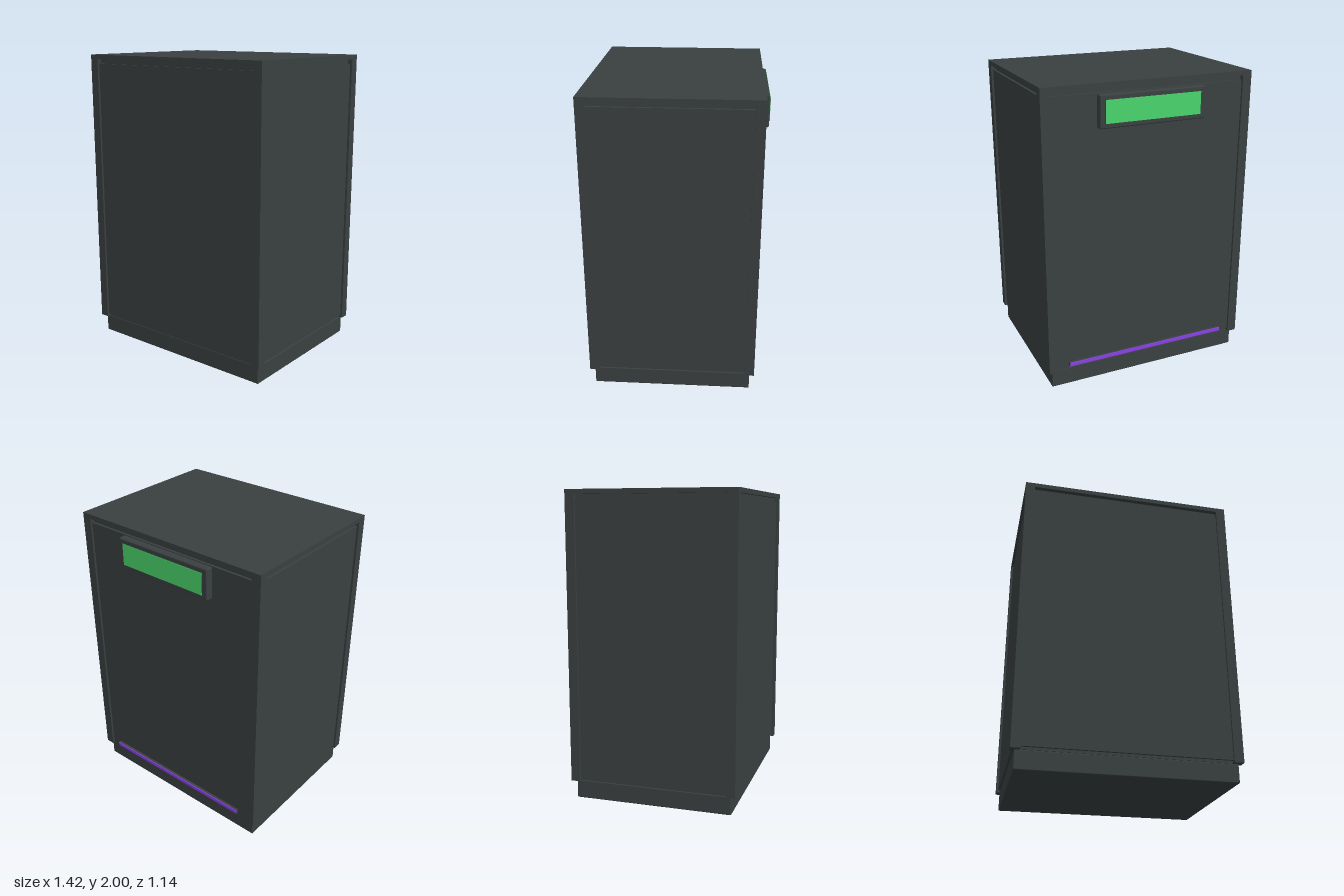
import * as THREE from 'three';
import { RoundedBoxGeometry } from 'three/addons/geometries/RoundedBoxGeometry.js';

const material = (name, color) => {
  const m = new THREE.MeshStandardMaterial({ color });
  m.name = name;
  return m;
};

export function createModel() {
  const cabinet = new THREE.Group();
  cabinet.name = 'cabinet';
  const charcoal = material('charcoal', 0x3a4040);
  const green = material('screenGreen', 0x4ad66d);
  const purple = material('lightPurple', 0x9146f5);

  // Box given by its extents on each axis
  const box = (name, mat, [x0, x1], [y0, y1], [z0, z1], radius = 0) => {
    const size = [x1 - x0, y1 - y0, z1 - z0];
    const geometry = radius
      ? new RoundedBoxGeometry(...size, 2, radius)
      : new THREE.BoxGeometry(...size);
    const mesh = new THREE.Mesh(geometry, mat);
    mesh.name = name;
    mesh.position.set((x0 + x1) / 2, (y0 + y1) / 2, (z0 + z1) / 2);
    cabinet.add(mesh);
  };

  const W = 0.71, BACK = -0.53, FRONT = 0.57, BOTTOM = 0.12, TOP = 2;
  const POST = 0.062, LID = 0.03;

  // Plinth, inner core and lid
  box('plinth', charcoal, [-0.685, 0.685], [0, BOTTOM], [-0.5, 0.54], 0.006);
  box('core', charcoal, [-W + 0.03, W - 0.03], [BOTTOM, TOP - LID], [BACK + 0.03, FRONT - 0.03]);
  box('lid', charcoal, [-W, W], [TOP - LID, TOP], [BACK, FRONT]);

  // Corner posts
  for (const x of [-W, W - POST]) {
    for (const z of [BACK, FRONT - POST]) {
      box('cornerPost', charcoal, [x, x + POST], [BOTTOM, TOP - LID], [z, z + POST]);
    }
  }

  // Recessed panels between the posts, with a shadow gap above and below
  const panelY = [0.137, 1.94], recess = 0.014, depth = 0.03;
  const panelX = [-W + POST, W - POST], panelZ = [BACK + POST, FRONT - POST];
  box('frontPanel', charcoal, panelX, panelY, [FRONT - depth - 0.01, FRONT - recess]);
  box('backPanel', charcoal, panelX, panelY, [BACK + recess, BACK + depth + 0.01]);
  box('leftPanel', charcoal, [W - depth - 0.01, W - recess], panelY, panelZ);
  box('rightPanel', charcoal, [-W + recess, -W + depth + 0.01], panelY, panelZ);

  // Display on the back: housing, screen mount and thin lit screen
  box('displayHousing', charcoal, [-0.355, 0.355], [1.73, 1.935], [-0.564, BACK + 0.02], 0.009);
  box('screenMount', charcoal, [-0.32, 0.32], [1.762, 1.905], [-0.568, -0.56]);
  box('displayScreen', green, [-0.32, 0.32], [1.762, 1.905], [-0.57, -0.568]);

  // Light strip low on the back, on a dark mount
  box('stripMount', charcoal, [-0.57, 0.57], [0.15, 0.175], [-0.533, BACK + 0.02]);
  box('lightStrip', purple, [-0.57, 0.57], [0.15, 0.175], [-0.539, -0.533]);

  return cabinet;
}
